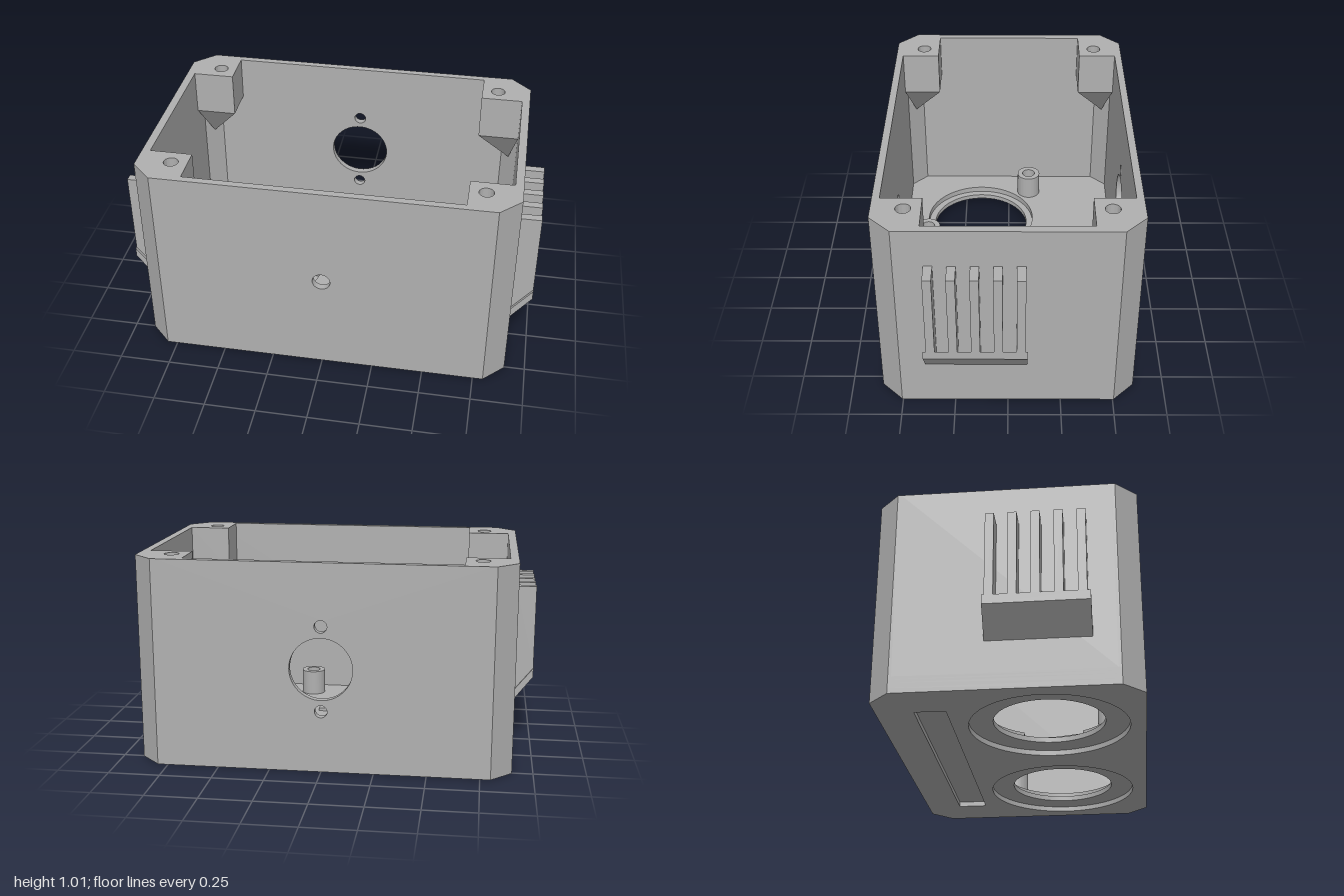
import * as THREE from 'three';
import { toCreasedNormals } from 'three/addons/utils/BufferGeometryUtils.js';
import { ConvexGeometry } from 'three/addons/geometries/ConvexGeometry.js';

const X = 0.9, Z = 0.605, CH = 0.1, TOP = 1.01;   // outer shell
const IX = 0.86, IZ = 0.57, ICH = 0.08;           // inner cavity
const FLOOR = 0.08;                               // floor top
const HX = 0.45, HZ = 0.16;                       // floor opening centre
const SIDES = [1, -1];

const poly = (pts) => new THREE.Shape(pts.map(([x, y]) => new THREE.Vector2(x, y)));
const circle = (x, y, r) => new THREE.Path().absarc(x, y, r, 0, Math.PI * 2, false);
const rect = (x0, y0, x1, y1) => [[x0, y0], [x1, y0], [x1, y1], [x0, y1]];
const octagon = (x, z, c) => poly([
  [x - c, z], [-x + c, z], [-x, z - c], [-x, -z + c],
  [-x + c, -z], [x - c, -z], [x, -z + c], [x, z - c],
]);

export function createModel() {
  const model = new THREE.Group();
  model.name = 'enclosure';
  const grey = new THREE.MeshStandardMaterial({ color: 0xb0b0b0 });
  grey.name = 'grey plastic';

  const add = (name, geometry) => {
    const mesh = new THREE.Mesh(toCreasedNormals(geometry, 0.5), grey);
    mesh.name = name;
    model.add(mesh);
  };
  const extrude = (shape, depth) =>
    new THREE.ExtrudeGeometry(shape, { depth, bevelEnabled: false, curveSegments: 32 });
  // Horizontal slab: shape coordinates are (x, z)
  const slab = (name, shape, y0, y1, holes = []) => {
    shape.holes.push(...holes);
    add(name, extrude(shape, y1 - y0).rotateX(Math.PI / 2).translate(0, y1, 0));
  };
  // Upright panel: shape coordinates are (x, y)
  const panel = (name, shape, z0, z1, holes = []) => {
    shape.holes.push(...holes);
    add(name, extrude(shape, z1 - z0).translate(0, 0, z0));
  };

  // Floor in layers: underside recesses, openings, keyed seats, wire channel
  const A = 0.504, SEAT = 0.295;
  const arcRight = (p) => p.absarc(HX, HZ, SEAT, Math.PI + A, 3 * Math.PI - A, false);
  const arcLeft = (p) => p.absarc(-HX, HZ, SEAT, A, 2 * Math.PI - A, false);
  const zNear = HZ - 0.1425, zFar = HZ + 0.1425, NX = 0.12, channelEnd = 0.13;

  const seatRight = new THREE.Path();
  seatRight.moveTo(NX, zNear);
  arcRight(seatRight).lineTo(NX, zFar);
  const seatLeft = new THREE.Path();
  seatLeft.moveTo(-NX, zFar);
  arcLeft(seatLeft).lineTo(-NX, zNear);

  const channel = new THREE.Path();
  channel.moveTo(-NX, -IZ);
  channel.lineTo(NX, -IZ);
  channel.lineTo(NX, zNear);
  arcRight(channel);
  channel.lineTo(NX, zFar);
  channel.lineTo(NX, channelEnd);
  channel.lineTo(-NX, channelEnd);
  channel.lineTo(-NX, zFar);
  arcLeft(channel);
  channel.lineTo(-NX, zNear);

  const outer = () => octagon(X, Z, CH);
  slab('floorUnderside', outer(), 0, 0.025, [
    ...SIDES.map((s) => circle(s * HX, HZ, 0.373)),
    poly(rect(-0.68, -0.43, 0.68, -0.285)),
  ]);
  slab('floorPlate', outer(), 0.025, 0.05, SIDES.map((s) => circle(s * HX, HZ, 0.26)));
  slab('floorSeats', outer(), 0.05, 0.065, [seatRight, seatLeft]);
  slab('floorTop', outer(), 0.065, FLOOR, [channel]);

  // Front and back walls with their holes
  const wall = () => poly(rect(-IX + ICH, FLOOR, IX - ICH, TOP));
  panel('frontWall', wall(), IZ, Z, [circle(0, 0.505, 0.043)]);
  panel('backWall', wall(), -Z, -IZ, [
    circle(0, 0.505, 0.15), circle(0, 0.71, 0.03), circle(0, 0.3, 0.03),
  ]);

  for (const sx of SIDES) {
    const side = sx > 0 ? 'left' : 'right';
    slab(side + 'Wall', poly(rect(sx * IX, -IZ + ICH, sx * X, IZ - ICH)), FLOOR, TOP);

    // Corners: chamfered wall, screw post and its tapered foot
    for (const sz of SIDES) {
      const mirror = (pts) => pts.map(([x, z]) => [sx * x, sz * z]);
      const name = side + (sz > 0 ? 'Front' : 'Back');
      slab(name + 'Corner', poly(mirror([
        [IX - ICH, IZ], [IX - ICH, Z], [X - CH, Z], [X, Z - CH], [X, IZ - ICH], [IX, IZ - ICH],
      ])), FLOOR, TOP);
      const post = mirror([
        [0.655, 0.38], [IX, 0.38], [IX, IZ - ICH], [IX - ICH, IZ], [0.655, IZ],
      ]);
      const postBase = 0.785;
      slab(name + 'Post', poly(post), postBase, TOP, [circle(sx * 0.735, sz * 0.46, 0.035)]);
      const foot = post.map(([x, z]) => new THREE.Vector3(x, postBase, z));
      foot.push(new THREE.Vector3(sx * 0.82, 0.575, sz * 0.53));
      add(name + 'PostFoot', new ConvexGeometry(foot));
    }

    // Standoffs beside each floor opening
    for (const [x, z] of [[0.705, -0.115], [0.195, 0.44]]) {
      const ring = new THREE.Shape().absarc(sx * x, z, 0.063, 0, Math.PI * 2, false);
      slab(side + 'Standoff', ring, FLOOR, 0.21, [circle(sx * x, z, 0.035)]);
    }

    // Side vent: sloped hood and five fins
    const profile = (pts) => poly(pts.map(([x, y]) => [sx * x, y]));
    panel(side + 'VentHood',
      profile([[X, 0.23], [1, 0.36], [1, 0.405], [X, 0.28]]), -0.09, 0.385);
    for (let i = 0; i < 5; i++) {
      const z = -0.08 + i * 0.1025;
      panel(side + 'VentFin',
        profile([[X, 0.28], [1, 0.405], [1, 0.82], [X, 0.82]]), z, z + 0.04);
    }
  }
  return model;
}
